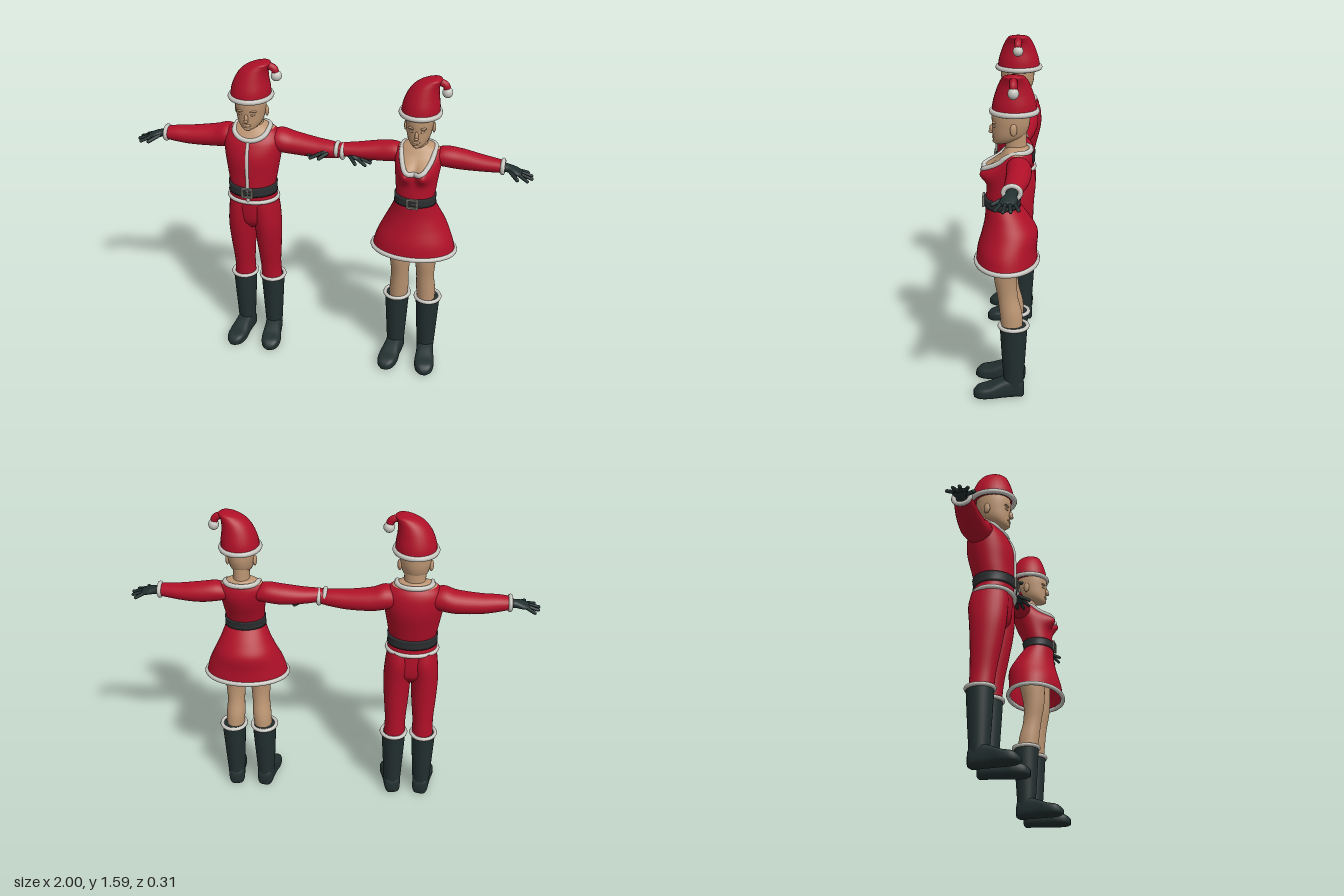
import * as THREE from 'three';

const mat = (name, color, side = THREE.FrontSide) => {
  const m = new THREE.MeshStandardMaterial({ color, side });
  m.name = name;
  return m;
};
const red = mat('red cloth', 0xb01028, THREE.DoubleSide);
const fur = mat('pale fur', 0xcac8c2);
const skin = mat('skin', 0xbd9673);
const boot = mat('dark leather', 0x222f2f);
const beltMat = mat('belt black', 0x2b2e30);
const metal = mat('buckle metal', 0x7b7a72);
const V = (x, y, z) => new THREE.Vector3(x, y, z);

function add(group, name, geo, material, pos = [0, 0, 0], scale = [1, 1, 1]) {
  const m = new THREE.Mesh(geo, material);
  m.name = name;
  m.position.set(...pos);
  m.scale.set(...scale);
  group.add(m);
  return m;
}
const blob = (g, name, material, pos, size) =>
  add(g, name, new THREE.SphereGeometry(1, 18, 14), material, pos, size);

// Smooth interpolation of rows [t, centre1, centre2, radius1, radius2]
function profile(rows) {
  const slope = (i, k) => {
    const a = rows[Math.max(0, i - 1)], b = rows[Math.min(rows.length - 1, i + 1)];
    return (b[k] - a[k]) / (b[0] - a[0]);
  };
  const f = (t) => {
    let i = 0;
    while (i < rows.length - 2 && t > rows[i + 1][0]) i++;
    const h = rows[i + 1][0] - rows[i][0], u = (t - rows[i][0]) / h, u2 = u * u, u3 = u2 * u;
    return [1, 2, 3, 4].map((k) => (2 * u3 - 3 * u2 + 1) * rows[i][k] + (u3 - 2 * u2 + u) * h * slope(i, k)
      + (3 * u2 - 2 * u3) * rows[i + 1][k] + (u3 - u2) * h * slope(i + 1, k));
  };
  f.start = rows[0][0];
  f.end = rows[rows.length - 1][0];
  return f;
}

// Point on a cross-section; sections run along y, sideways (x) or forward (z)
function place(f, t, a, { axis = 'y', s = 1, e = 1, grow = 0, bump } = {}) {
  const [c1, c2, r1, r2] = f(t);
  const pw = (v) => Math.sign(v) * Math.abs(v) ** e;
  const p = (r1 + grow) * pw(Math.cos(a)), q = (r2 + grow) * pw(Math.sin(a));
  if (axis === 'x') return V(s * t, c1 - s * p, c2 + q);
  if (axis === 'z') return V(c1 + p, Math.max(0, c2 - q), t);
  const out = bump && Math.sin(a) > 0 ? Math.sin(a) * bump(c1 + p, t) : 0;
  return V(s * c1 + p, t, c2 + q + out);
}

function loft(f, o = {}) {
  const { n = 28, m = 28, cap = true, pick, from = f.start, to = f.end } = o;
  const pos = [], sets = [[], []];
  const push = (v) => pos.push(v.x, v.y, v.z);
  for (let i = 0; i <= n; i++)
    for (let j = 0; j < m; j++) push(place(f, from + (to - from) * i / n, j / m * Math.PI * 2, o));
  for (let i = 0; i < n; i++) for (let j = 0; j < m; j++) {
    const a = i * m + j, b = i * m + (j + 1) % m, c = a + m, d = b + m;
    const mid = (k) => (pos[a * 3 + k] + pos[d * 3 + k]) / 2;
    sets[pick && pick(mid(0), mid(1), mid(2)) ? 1 : 0].push(a, c, b, b, c, d);
  }
  if (cap) [0, n].forEach((i) => {
    const mid = place(f, from, 0, o).set(0, 0, 0);
    for (let j = 0; j < m; j++) mid.add(V(...pos.slice((i * m + j) * 3, (i * m + j) * 3 + 3)));
    push(mid.divideScalar(m));
    const k = pos.length / 3 - 1;
    for (let j = 0; j < m; j++) {
      const a = i * m + j, b = i * m + (j + 1) % m;
      sets[pick && i ? 1 : 0].push(...(i ? [a, k, b] : [a, b, k]));
    }
  });
  const g = new THREE.BufferGeometry();
  g.setAttribute('position', new THREE.Float32BufferAttribute(pos, 3));
  g.setIndex([...sets[0], ...sets[1]]);
  if (pick) {
    g.addGroup(0, sets[0].length, 0);
    g.addGroup(sets[0].length, sets[1].length, 1);
  }
  g.computeVertexNormals();
  return g;
}

const tube = (pts, r, closed) =>
  new THREE.TubeGeometry(new THREE.CatmullRomCurve3(pts, closed), 64, r, 8, closed);
const ring = (f, t, r, o) =>
  tube(Array.from({ length: 24 }, (_, i) => place(f, t, i / 24 * Math.PI * 2, o)), r, true);

function buildHead(g, k, neckR) {
  add(g, 'neck', loft(profile([[1.15, 0, -0.05, neckR + 0.008, 0.052], [1.23, 0, -0.045, neckR, 0.048],
    [1.32, 0, -0.04, neckR, 0.052]])), skin);
  const h = new THREE.Group();
  h.name = 'head';
  h.scale.x = k;
  g.add(h);
  add(h, 'skull', loft(profile([[1.247, 0, 0.034, 0.014, 0.018], [1.258, 0, 0.012, 0.038, 0.046],
    [1.285, 0, -0.01, 0.06, 0.071], [1.33, 0, -0.02, 0.072, 0.083], [1.38, 0, -0.021, 0.077, 0.087],
    [1.43, 0, -0.025, 0.074, 0.085]])), skin);
  blob(h, 'nose', skin, [0, 1.316, 0.064], [0.01, 0.022, 0.013]);
  blob(h, 'noseTip', skin, [0, 1.304, 0.07], [0.012, 0.008, 0.01]);
  blob(h, 'lips', skin, [0, 1.28, 0.056], [0.022, 0.007, 0.009]);
  blob(h, 'chin', skin, [0, 1.26, 0.048], [0.02, 0.012, 0.014]);
  for (const s of [-1, 1]) {
    blob(h, 'brow', skin, [s * 0.027, 1.352, 0.052], [0.024, 0.006, 0.012]);
    blob(h, 'eyelid', skin, [s * 0.027, 1.335, 0.05], [0.014, 0.007, 0.01]);
    blob(h, 'ear', skin, [s * 0.076, 1.328, -0.035], [0.01, 0.028, 0.017]).rotation.y = s * 0.3;
  }
}

function buildHat(g, k, dy, z) {
  const h = new THREE.Group();
  h.name = 'hat';
  h.position.set(0, dy, z);
  h.scale.set(k, 1, k);
  g.add(h);
  const f = profile([[1.405, 0, 0, 0.1, 0.11], [1.45, 0.002, 0, 0.096, 0.104], [1.5, 0.008, 0, 0.083, 0.089],
    [1.54, 0.022, 0, 0.069, 0.073], [1.565, 0.043, 0, 0.056, 0.059], [1.58, 0.065, 0, 0.038, 0.046],
    [1.586, 0.075, 0, 0.014, 0.02]]);
  add(h, 'hatCone', loft(f, { n: 40 }), red);
  add(h, 'hatTail', tube([V(0.07, 1.56, 0), V(0.1, 1.563, 0), V(0.122, 1.55, 0), V(0.129, 1.525, 0)], 0.019), red);
  add(h, 'hatBrim', ring(f, 1.408, 0.013), fur);
  add(h, 'pompom', new THREE.IcosahedronGeometry(0.027, 3), fur, [0.131, 1.517, 0]);
}

function buildArm(g, s, rows) {
  const f = profile(rows), o = { axis: 'x', s };
  add(g, 'sleeve', loft(f, o), red);
  add(g, 'cuff', ring(f, f.end, 0.011, o), fur);
  const [y, z] = f(f.end), x0 = f.end, at = (x, dy, dz) => V(s * (x0 + x), y + dy, z + dz);
  add(g, 'gloveWrist', loft(profile([[x0 - 0.02, y, z, 0.024, 0.028], [x0 + 0.025, y - 0.004, z + 0.003, 0.02, 0.026],
    [x0 + 0.06, y - 0.012, z + 0.01, 0.018, 0.037], [x0 + 0.092, y - 0.02, z + 0.013, 0.011, 0.034]]), o), boot);
  // Fanned fingers and a forward thumb
  const limb = (name, a, b, r) => {
    const c = new THREE.CapsuleGeometry(r, a.distanceTo(b), 4, 8);
    const m = add(g, name, c, boot, a.clone().lerp(b, 0.5).toArray());
    m.quaternion.setFromUnitVectors(V(0, 1, 0), b.clone().sub(a).normalize());
  };
  [0.118, 0.137, 0.141, 0.122].forEach((len, i) => {
    const d = (i - 1.5) * 0.017;
    limb('finger', at(0.075, -0.016, 0.013 + d), at(len, -0.034, 0.016 + d * 1.9), 0.0085);
  });
  limb('thumb', at(0.035, -0.01, 0.025), at(0.075, -0.026, 0.078), 0.0095);
}

function buildBoot(g, s, x, z, topR) {
  const b = new THREE.Group();
  b.name = 'boot';
  b.position.set(s * x, 0, z);
  b.rotation.y = s * 0.13;
  g.add(b);
  const shaft = profile([[0.03, 0, 0, 0.042, 0.045], [0.1, 0, 0, 0.046, 0.049], [0.22, 0, 0, 0.053, 0.057],
    [0.375, 0, 0, topR, topR + 0.004]]);
  add(b, 'bootShaft', loft(shaft), boot);
  add(b, 'bootFur', ring(shaft, 0.373, 0.01), fur);
  const foot = profile([[-0.05, 0, 0.035, 0.02, 0.03], [-0.04, 0, 0.042, 0.037, 0.045], [0, 0, 0.052, 0.043, 0.054],
    [0.06, 0, 0.044, 0.045, 0.047], [0.12, 0, 0.031, 0.051, 0.034], [0.17, 0, 0.025, 0.042, 0.027],
    [0.193, 0, 0.018, 0.02, 0.014]]);
  add(b, 'bootFoot', loft(foot, { axis: 'z', e: 0.65 }), boot);
}

// Torso with a fur-edged neckline, belt and buckle
function buildTorso(g, f, { neckY, neckW, drop, belt, bump }) {
  const inNeck = (x, y, z) => (y > neckY && Math.abs(x) < neckW + 0.02)
    || (z > -0.05 && (x / neckW) ** 2 + ((y - neckY) / drop) ** 2 < 1);
  add(g, 'torso', loft(f, { n: 64, m: 72, bump, pick: inNeck }), [red, skin]);
  const front = (x, y) => {
    const [, c, r1, r2] = f(y), k = Math.sqrt(Math.max(0, 1 - (x / r1) ** 2));
    return c + r2 * k + (bump ? bump(x, y) * k : 0);
  };
  const pts = Array.from({ length: 32 }, (_, i) => {
    const a = i / 32 * Math.PI * 2, x = neckW * Math.cos(a), sn = Math.sin(a);
    return sn > 0.01 ? V(x, neckY - drop * sn, front(x, neckY - drop * sn)) : V(x, neckY + 0.004, -0.05 + 0.062 * sn);
  });
  add(g, 'collarFur', tube(pts, 0.0125, true), fur);
  const [b0, b1] = belt, y = (b0 + b1) / 2, w = 0.029, h = 0.026;
  add(g, 'belt', loft(f, { from: b0, to: b1, n: 4, m: 40, grow: 0.008 }), beltMat);
  const rect = (P, a, b) => new P().moveTo(-a, -b).lineTo(a, -b).lineTo(a, b).lineTo(-a, b).closePath();
  const frame = rect(THREE.Shape, w, h);
  frame.holes.push(rect(THREE.Path, w - 0.009, h - 0.009));
  const bz = front(0, y) + 0.006;
  add(g, 'buckleFrame', new THREE.ExtrudeGeometry(frame, { depth: 0.01, bevelEnabled: false }), metal, [0, y, bz]);
  add(g, 'bucklePin', new THREE.BoxGeometry(0.03, 0.005, 0.006), metal, [0.008, y, bz + 0.007]);
  return front;
}

function buildMan() {
  const g = new THREE.Group();
  g.name = 'manFigure';
  g.position.x = -0.395;
  const f = profile([[0.86, 0, -0.015, 0.126, 0.098], [0.925, 0, -0.01, 0.116, 0.097], [1.0, 0, -0.018, 0.127, 0.104],
    [1.1, 0, -0.031, 0.143, 0.114], [1.17, 0, -0.042, 0.15, 0.102], [1.21, 0, -0.05, 0.135, 0.083],
    [1.238, 0, -0.05, 0.1, 0.064], [1.258, 0, -0.05, 0.055, 0.045]]);
  const front = buildTorso(g, f, { neckY: 1.236, neckW: 0.086, drop: 0.045, belt: [0.9, 0.95] });
  add(g, 'jacketHemFur', ring(f, 0.866, 0.011), fur);
  add(g, 'jacketFrontFur', tube([1.19, 1.12, 1.04, 0.95, 0.87].map((y) => V(0, y, front(0, y))), 0.009), fur);
  add(g, 'hips', loft(profile([[0.69, 0, -0.025, 0.04, 0.05], [0.74, 0, -0.025, 0.105, 0.085],
    [0.87, 0, -0.018, 0.122, 0.094]])), red);
  for (const s of [-1, 1]) {
    buildArm(g, s, [[0.07, 1.165, -0.055, 0.045, 0.055], [0.14, 1.167, -0.06, 0.062, 0.07],
      [0.2, 1.155, -0.065, 0.057, 0.066], [0.32, 1.145, -0.058, 0.049, 0.056], [0.4, 1.146, -0.05, 0.042, 0.048],
      [0.46, 1.147, -0.045, 0.032, 0.039]]);
    add(g, 'trouserLeg', loft(profile([[0.35, 0.073, -0.052, 0.055, 0.058], [0.45, 0.071, -0.045, 0.053, 0.061],
      [0.58, 0.07, -0.033, 0.063, 0.074], [0.7, 0.069, -0.025, 0.069, 0.088], [0.8, 0.062, -0.025, 0.069, 0.096],
      [0.87, 0.055, -0.02, 0.066, 0.088]]), { s }), red);
    buildBoot(g, s, 0.077, -0.055, 0.062);
  }
  buildHead(g, 1, 0.053);
  buildHat(g, 1, 0, -0.027);
  return g;
}

function buildWoman() {
  const g = new THREE.Group();
  g.name = 'womanFigure';
  g.position.x = 0.44;
  const f = profile([[0.93, 0, 0.015, 0.1, 0.077], [0.975, 0, 0.018, 0.094, 0.076], [1.03, 0, 0.008, 0.099, 0.083],
    [1.1, 0, -0.012, 0.108, 0.093], [1.15, 0, -0.03, 0.115, 0.089], [1.19, 0, -0.045, 0.117, 0.073],
    [1.22, 0, -0.05, 0.094, 0.058], [1.24, 0, -0.05, 0.05, 0.042]]);
  const bump = (x, y) => 0.058 * Math.exp(-(((Math.abs(x) - 0.05) / 0.038) ** 2) - ((y - 1.12) / 0.042) ** 2);
  buildTorso(g, f, { neckY: 1.217, neckW: 0.08, drop: 0.092, belt: [0.953, 0.997], bump });
  const skirt = profile([[0.68, 0, -0.002, 0.208, 0.144], [0.75, 0, -0.004, 0.19, 0.139], [0.83, 0, -0.016, 0.154, 0.129],
    [0.89, 0, -0.006, 0.125, 0.106], [0.955, 0, 0.016, 0.099, 0.08]]);
  add(g, 'skirt', loft(skirt, { cap: false, m: 40 }), red);
  add(g, 'skirtFur', ring(skirt, 0.685, 0.012), fur);
  for (const s of [-1, 1]) {
    buildArm(g, s, [[0.07, 1.165, -0.055, 0.038, 0.045], [0.12, 1.17, -0.06, 0.05, 0.056],
      [0.2, 1.163, -0.063, 0.05, 0.056], [0.3, 1.157, -0.055, 0.04, 0.05], [0.405, 1.156, -0.042, 0.03, 0.036]]);
    add(g, 'bareLeg', loft(profile([[0.34, 0.074, -0.03, 0.044, 0.05], [0.43, 0.069, -0.024, 0.048, 0.053],
      [0.52, 0.065, -0.008, 0.045, 0.048], [0.62, 0.065, 0.002, 0.053, 0.055], [0.75, 0.066, -0.008, 0.064, 0.07],
      [0.86, 0.06, -0.01, 0.055, 0.07]]), { s }), skin);
    buildBoot(g, s, 0.08, -0.037, 0.062);
  }
  buildHead(g, 0.88, 0.041);
  buildHat(g, 0.93, -0.008, -0.036);
  return g;
}

export function createModel() {
  const model = new THREE.Group();
  model.name = 'festivePair';
  model.add(buildMan(), buildWoman());
  return model;
}
